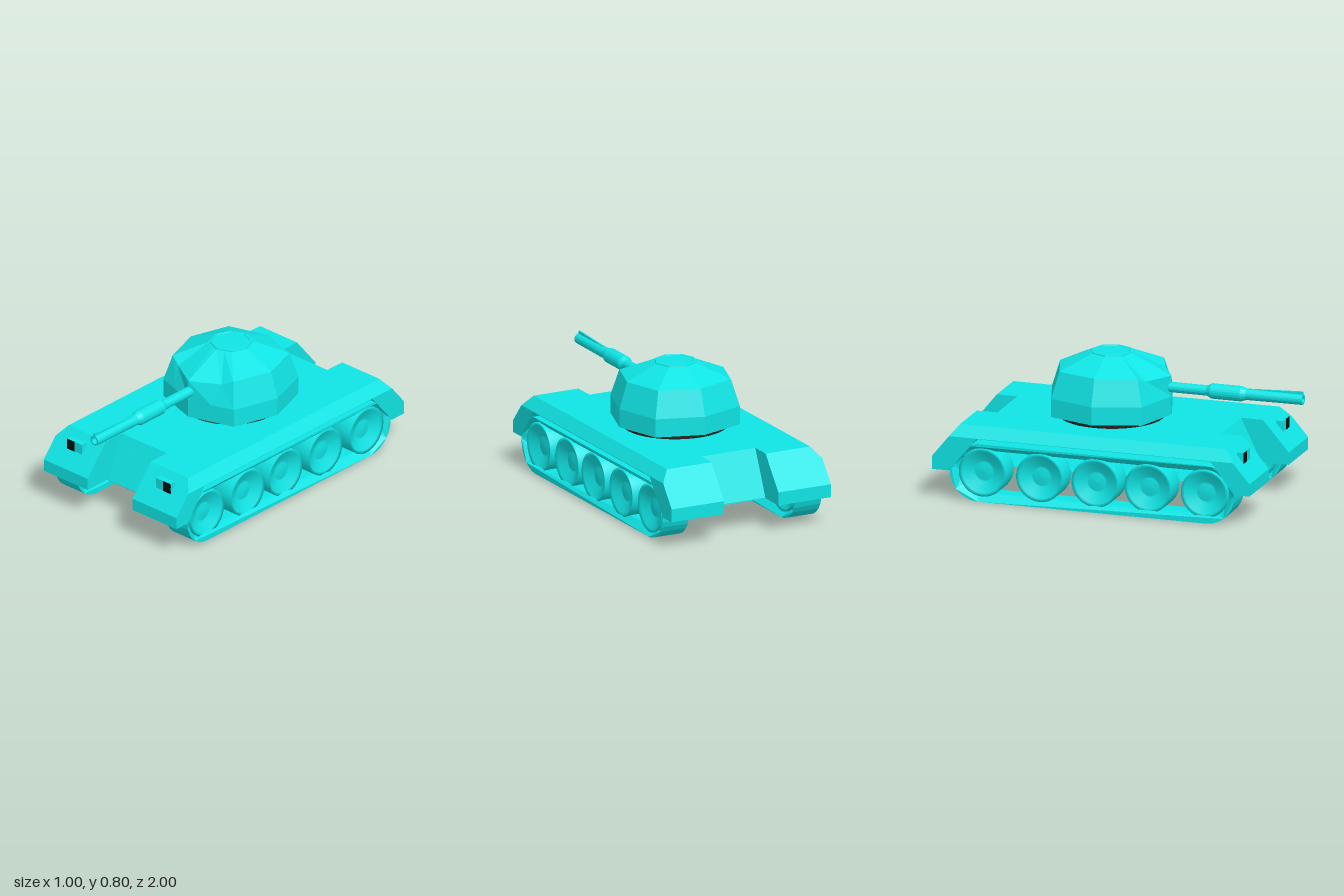
import * as THREE from 'three';

const paint = new THREE.MeshStandardMaterial({ color: 0x10e4e4, flatShading: true, side: THREE.DoubleSide });
const smooth = new THREE.MeshStandardMaterial({ color: 0x10e4e4, side: THREE.DoubleSide });
const black = new THREE.MeshStandardMaterial({ color: 0x0c0c0c, flatShading: true });
const ringDark = new THREE.MeshStandardMaterial({ color: 0x241f1f });

const V = (list) => list.map(([a, b]) => new THREE.Vector2(a, b));

// Side outline given as [z, y], swept across from x0 to x1
function sweep(outline, x0, x1, hole) {
  const shape = new THREE.Shape(V(outline.map(([z, y]) => [-z, y])));
  if (hole) shape.holes.push(new THREE.Path(V(hole.map(([z, y]) => [-z, y]))));
  const geo = new THREE.ExtrudeGeometry(shape, { depth: x1 - x0, bevelEnabled: false });
  return geo.rotateY(Math.PI / 2).translate(x0, 0, 0);
}

// Same sweep on the left (+1) or right (-1) side
const sideSweep = (s, outline, a, b, hole) =>
  sweep(outline, Math.min(s * a, s * b), Math.max(s * a, s * b), hole);

// Moves every vertex by a rule
function reshape(geo, rule) {
  const p = geo.attributes.position;
  const v = new THREE.Vector3();
  for (let i = 0; i < p.count; i++) {
    rule(v.fromBufferAttribute(p, i), i);
    p.setXYZ(i, v.x, v.y, v.z);
  }
  geo.computeVertexNormals();
  return geo;
}

// Rounded loop of a track: half circles around two end centres
const FRONT = 0.604, BACK = -0.73;
function loop(y, r) {
  const pts = [];
  const n = 14;
  for (const [z, start] of [[FRONT, -Math.PI / 2], [BACK, Math.PI / 2]]) {
    for (let i = 0; i <= n; i++) {
      const a = start + (i / n) * Math.PI;
      pts.push([z + r * Math.cos(a), y + r * Math.sin(a)]);
    }
  }
  return pts;
}

export function createModel() {
  const model = new THREE.Group();
  const add = (name, geo, mat = paint, parent = model) => {
    const mesh = new THREE.Mesh(geo, mat);
    mesh.name = name;
    parent.add(mesh);
    return mesh;
  };

  // Hull: a bent plate, set back between the fenders, over a flat belly
  add('hullCentre', sweep([[0.70, 0.18], [0.58, 0.425], [-0.73, 0.425], [-0.85, 0.165],
    [-0.84, 0.165], [-0.745, 0.36], [0.6, 0.36], [0.69, 0.18]], -0.17, 0.17));
  add('bellyCentre', sweep([[0.70, 0.18], [0.70, 0.184], [-0.85, 0.17], [-0.85, 0.166]], -0.17, 0.17));

  const fender = [[0.86, 0.18], [0.86, 0.25], [0.71, 0.425], [-0.85, 0.425], [-1, 0.24],
    [-1, 0.165], [-0.9, 0.165], [-0.74, 0.36], [0.63, 0.36], [0.77, 0.18]];

  for (const s of [1, -1]) {
    const side = s > 0 ? 'left' : 'right';
    add(side + 'Fender', sideSweep(s, fender, 0.17, 0.45));
    add(side + 'Belly', sideSweep(s, [[0.86, 0.18], [0.86, 0.184], [-1, 0.169], [-1, 0.165]], 0.17, 0.335));

    // Sloping outer edge: the top corners drop and slide along the end slopes
    add(side + 'FenderEdge', reshape(sideSweep(s, fender, 0.45, 0.5), (v) => {
      if (Math.abs(v.x) > 0.49 && v.y > 0.42) v.set(v.x, 0.363, v.z > 0 ? 0.763 : -0.9);
    }));

    // Walls closing the notches beside the hull centre
    add(side + 'FrontCheek', sideSweep(s, [[0.58, 0.42], [0.71, 0.42], [0.855, 0.25],
      [0.855, 0.182], [0.69, 0.182]], 0.17, 0.175));
    add(side + 'BackCheek', sideSweep(s, [[-0.73, 0.42], [-0.85, 0.42], [-0.995, 0.24],
      [-0.995, 0.167], [-0.84, 0.167]], 0.17, 0.175));

    // Headlight wedge with a black lens on its outer half
    add(side + 'Headlight', sideSweep(s, [[0.745, 0.38], [0.752, 0.395], [0.788, 0.394], [0.788, 0.332]], 0.28, 0.39));
    add(side + 'HeadlightLens', new THREE.BoxGeometry(0.056, 0.064, 0.003)
      .translate(s * 0.362, 0.362, 0.788), black);

    // Track: its side faces slope inward from the outer rim to the inner rim
    const y = s > 0 ? 0.17 : 0.166;
    const r = s > 0 ? 0.162 : 0.166;
    const middle = s * 0.4155;
    const track = sideSweep(s, loop(y, r), 0.333, 0.498, loop(y, r - 0.044));
    add(side + 'Track', reshape(track, (v) => {
      const core = THREE.MathUtils.clamp(v.z, BACK, FRONT);
      if (Math.hypot(v.z - core, v.y - y) < r - 0.02) v.x = middle + (v.x - middle) * 0.5;
    }));

    // Dished road wheels
    const wheelProfile = V([[0, -0.038], [0.05, -0.035], [0.06, -0.03], [0.12, -0.062], [0.138, -0.068],
      [0.138, 0.068], [0.12, 0.062], [0.06, 0.03], [0.05, 0.035], [0, 0.038]]);
    for (const z of [0.59, 0.26, -0.05, -0.375, -0.71]) {
      const wheel = new THREE.LatheGeometry(wheelProfile, 32).rotateZ(-Math.PI / 2);
      add(side + 'Wheel', wheel.translate(middle, 0.166, z), smooth);
    }
  }

  // Raised panel with two vision slits on the sloping nose
  const panel = new THREE.Group();
  panel.name = 'nosePanel';
  panel.position.set(0, 0.343, 0.62);
  panel.rotation.x = -Math.atan2(0.12, 0.245);
  model.add(panel);
  add('panelPlate', new THREE.BoxGeometry(0.3, 0.06, 0.01), paint, panel);
  for (const x of [-0.065, 0.065]) {
    add('visionSlit', new THREE.BoxGeometry(0.07, 0.013, 0.02).translate(x, -0.004, 0.008), paint, panel);
  }

  // Turret on its dark ring
  const turret = new THREE.Group();
  turret.name = 'turret';
  turret.position.set(0.007, 0, -0.12);
  model.add(turret);
  add('turretRing', new THREE.CylinderGeometry(0.295, 0.295, 0.04, 40).translate(0, 0.44, 0), ringDark, turret);

  // Eight-sided shell: even steps are corners (diagonals a little wider), odd steps are mid-faces
  const profile = V([[0, 0.455], [0.35, 0.455], [0.35, 0.56], [0.302, 0.71], [0.12, 0.788], [0, 0.79]]);
  const corner = (k) => {
    const a = (k * Math.PI) / 8;
    return new THREE.Vector2(Math.sin(a), Math.cos(a)).multiplyScalar(k % 4 === 2 ? 1.07 : 1);
  };
  add('turretShell', reshape(new THREE.LatheGeometry(profile, 16), (v, i) => {
    const k = Math.floor(i / profile.length);
    const row = i % profile.length;
    const dir = k % 2 ? corner(k - 1).add(corner(k + 1)).multiplyScalar(0.5) : corner(k);
    v.x = dir.x * profile[row].x;
    v.z = dir.y * profile[row].x;
    // Front stands upright with a level brow to carry the gun
    if (row === 3 && [0, 1, 15, 16].includes(k)) {
      v.y = 0.68;
      if (k % 2) v.set(Math.sign(v.x) * 0.163, 0.68, 0.255);
      else v.z = 0.35;
    }
  }), paint, turret);
  add('hatch', new THREE.LatheGeometry(V([[0.122, 0.782], [0.119, 0.794], [0.106, 0.795],
    [0.104, 0.792], [0, 0.792]]), 8), paint, turret);

  // Gun with a thicker sleeve, a hollow muzzle and a sight fin
  const gun = new THREE.Group();
  gun.name = 'gun';
  gun.position.set(0.01, 0.613, 0);
  model.add(gun);
  const barrel = V([[0, 0.2], [0.029, 0.2], [0.029, 0.44], [0.043, 0.465], [0.043, 0.64], [0.032, 0.67],
    [0.03, 1], [0.019, 1], [0.019, 0.9], [0, 0.9]]);
  add('barrel', new THREE.LatheGeometry(barrel, 20).rotateX(Math.PI / 2), paint, gun);
  add('sightFin', sweep([[0.68, 0.02], [1, 0.02], [1, 0.046], [0.68, 0.032]], -0.005, 0.005), paint, gun);

  return model;
}
